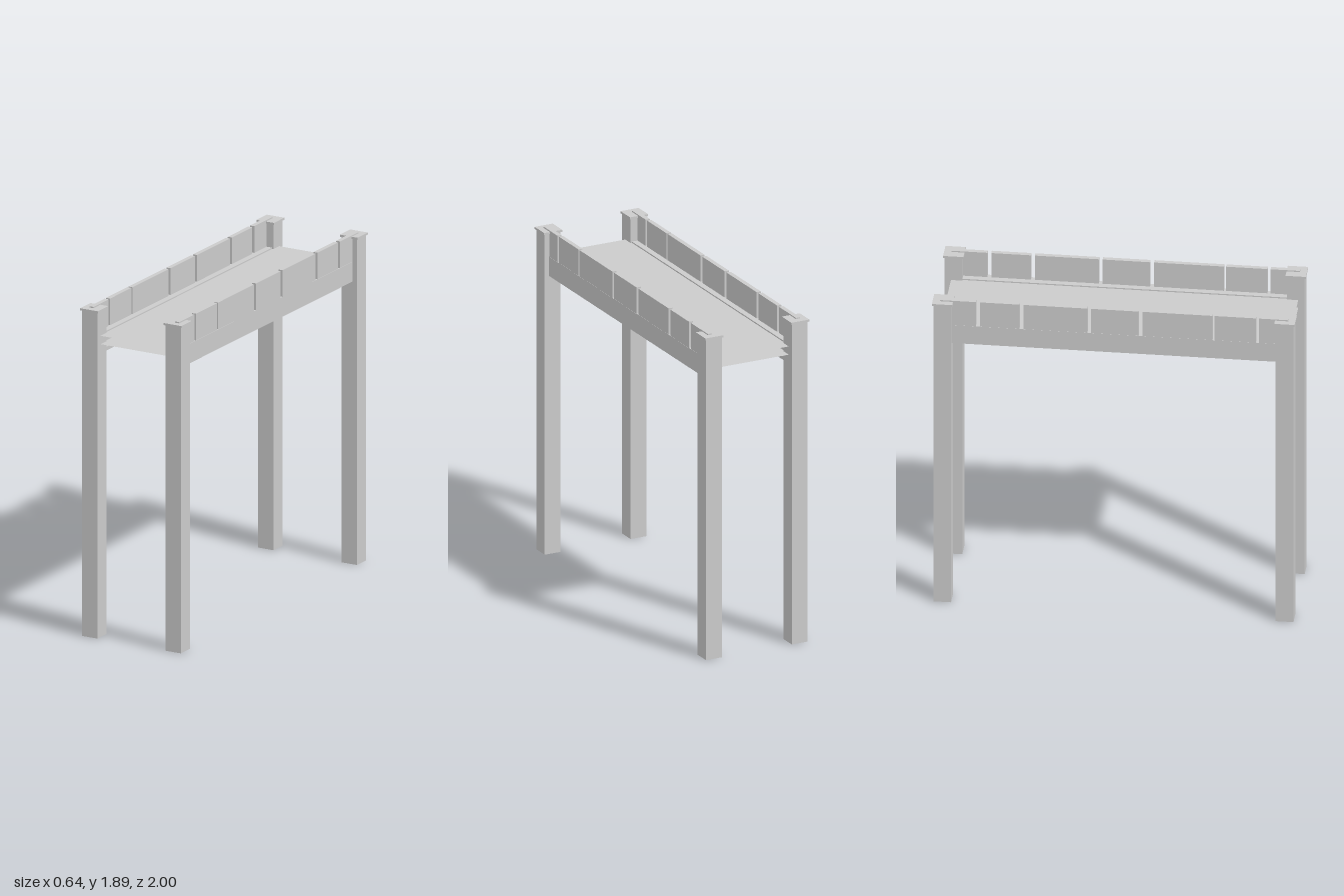
import * as THREE from 'three';

export function createModel() {
  const model = new THREE.Group();
  const solid = new THREE.MeshStandardMaterial({ color: 0xcccccc, flatShading: true });
  const thin = new THREE.MeshStandardMaterial({ color: 0xcccccc, flatShading: true, side: THREE.DoubleSide });

  const add = (name, geometry, material, x, y, z) => {
    const mesh = new THREE.Mesh(geometry, material);
    mesh.name = name;
    mesh.position.set(x, y, z);
    model.add(mesh);
    return mesh;
  };

  // Hollow square post, open at the bottom
  const postHeight = 1.87, postWidth = 0.098;
  const postGeo = new THREE.CylinderGeometry(postWidth / Math.SQRT2, postWidth / Math.SQRT2, postHeight, 4, 1, true);
  postGeo.rotateY(Math.PI / 4);
  const capGeo = new THREE.BoxGeometry(0.112, 0.012, 0.112);

  // Channel beam section: flat outside, flanges turned inwards
  const bottom = 1.622, top = 1.735, flange = 0.022;
  const section = side => new THREE.Shape([
    [0.287, bottom], [0.287, top], [0.225, top], [0.225, top - flange],
    [0.26, top - flange], [0.26, bottom + flange], [0.225, bottom + flange], [0.225, bottom],
  ].map(([x, y]) => new THREE.Vector2(side * x, y)));

  // Wall panels along z, separated by narrow slots
  const panelSpans = [
    [-0.96, -0.762], [-0.74, -0.521], [-0.5, -0.147], [-0.126, 0.136],
    [0.158, 0.543], [0.555, 0.783], [0.8, 0.962],
  ];
  const panelTop = 1.888;

  for (const side of [-1, 1]) {
    const beam = new THREE.ExtrudeGeometry(section(side), { depth: 1.9, bevelEnabled: false });
    add('sideBeam', beam, solid, 0, 0, -0.95);

    for (const [z0, z1] of panelSpans) {
      const panel = new THREE.BoxGeometry(0.026, panelTop - top, z1 - z0);
      add('wallPanel', panel, solid, side * 0.273, (panelTop + top) / 2, (z0 + z1) / 2);
    }

    for (const end of [-1, 1]) {
      add('post', postGeo, thin, side * 0.266, postHeight / 2, end * 0.944);
      add('postCap', capGeo, solid, side * 0.266, postHeight + 0.005, end * 0.944);
    }
  }

  // Two thin deck sheets with an open gap between them
  const deckGeo = new THREE.PlaneGeometry(0.45, 1.915).rotateX(-Math.PI / 2);
  add('deckTop', deckGeo, thin, 0, 1.728, 0);
  add('deckUnderside', deckGeo, thin, 0, 1.68, 0);

  return model;
}
